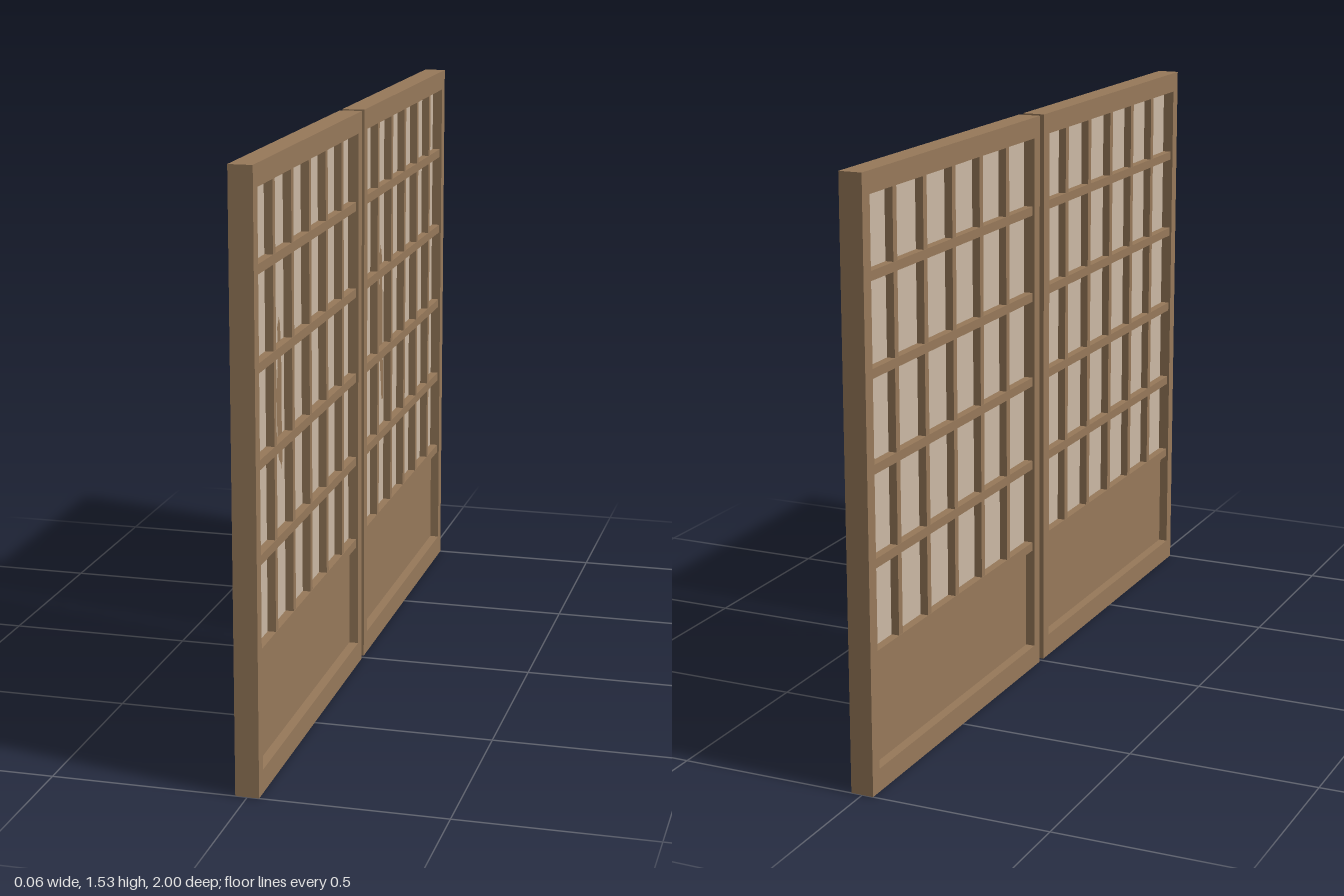
import * as THREE from 'three';

const wood = new THREE.MeshStandardMaterial({ color: 0x97795a });
wood.name = 'wood';
const paper = new THREE.MeshStandardMaterial({ color: 0xcbb9a4 });
paper.name = 'paper';

const HEIGHT = 1.532, DEPTH = 0.06, WIDTH = 0.9865;
// opening of the frame, measured from the leaf's leading edge (z runs downwards from it)
const OPEN = { u0: 0.034, u1: 0.95, y0: 0.06, y1: 1.477 };

// box spanning u0..u1 across the leaf and y0..y1 in height, centred in its depth
function slab(name, material, u0, u1, y0, y1, depth) {
  const mesh = new THREE.Mesh(new THREE.BoxGeometry(depth, y1 - y0, u1 - u0), material);
  mesh.position.set(0, (y0 + y1) / 2, -(u0 + u1) / 2);
  mesh.name = name;
  return mesh;
}

function rectangle(PathType, u0, u1, y0, y1) {
  return new PathType([[u0, y0], [u1, y0], [u1, y1], [u0, y1]].map(p => new THREE.Vector2(...p)));
}

// one leaf, with its leading edge at z = 0 and extending towards -z
function createLeaf(name, tear) {
  const leaf = new THREE.Group();
  leaf.name = name;

  // outer frame
  const outline = rectangle(THREE.Shape, 0, WIDTH, 0, HEIGHT);
  outline.holes.push(rectangle(THREE.Path, OPEN.u0, OPEN.u1, OPEN.y0, OPEN.y1));
  const frameGeometry = new THREE.ExtrudeGeometry(outline, { depth: DEPTH, bevelEnabled: false });
  frameGeometry.translate(0, 0, -DEPTH / 2).rotateY(Math.PI / 2);
  const frame = new THREE.Mesh(frameGeometry, wood);
  frame.name = 'frame';
  leaf.add(frame);

  // solid lower panel and the paper sheet above it
  leaf.add(slab('lowerPanel', wood, OPEN.u0, OPEN.u1, OPEN.y0, 0.345, 0.01));
  leaf.add(slab('paperSheet', paper, OPEN.u0 + 0.006, OPEN.u1, 0.35, OPEN.y1, 0.004));

  // lattice
  for (let i = 0; i < 5; i++) {
    const y = 0.349 + i * 0.2335;
    leaf.add(slab('latticeRail', wood, OPEN.u0, OPEN.u1, y - 0.012, y + 0.012, 0.048));
    const u = 0.187 + i * 0.157;
    leaf.add(slab('latticeUpright', wood, u - 0.01, u + 0.01, 0.349, OPEN.y1, 0.046));
  }

  // ragged tear in the paper, seen from one side
  const tearShape = new THREE.Shape(tear.map(p => new THREE.Vector2(...p)));
  const tearMesh = new THREE.Mesh(new THREE.ShapeGeometry(tearShape).rotateY(Math.PI / 2), wood);
  tearMesh.position.x = 0.004;
  tearMesh.name = 'paperTear';
  leaf.add(tearMesh);
  return leaf;
}

export function createModel() {
  const model = new THREE.Group();
  model.name = 'slidingScreen';

  const front = createLeaf('frontLeaf', [
    [0.305, 0.73], [0.308, 0.78], [0.303, 0.9], [0.305, 1.0], [0.299, 1.05], [0.297, 1.1], [0.286, 1.122],
    [0.272, 1.1], [0.274, 1.0], [0.262, 0.94], [0.266, 0.85], [0.277, 0.77], [0.298, 0.75],
  ]);
  front.position.z = 1;

  const back = createLeaf('backLeaf', [
    [0.302, 0.665], [0.32, 0.665], [0.316, 0.8], [0.314, 0.9], [0.307, 1.0], [0.303, 1.08], [0.29, 1.118],
    [0.274, 1.09], [0.28, 1.01], [0.263, 0.95], [0.267, 0.84], [0.286, 0.76], [0.294, 0.72],
  ]);
  back.position.z = WIDTH - 1;

  model.add(front, back);
  return model;
}
